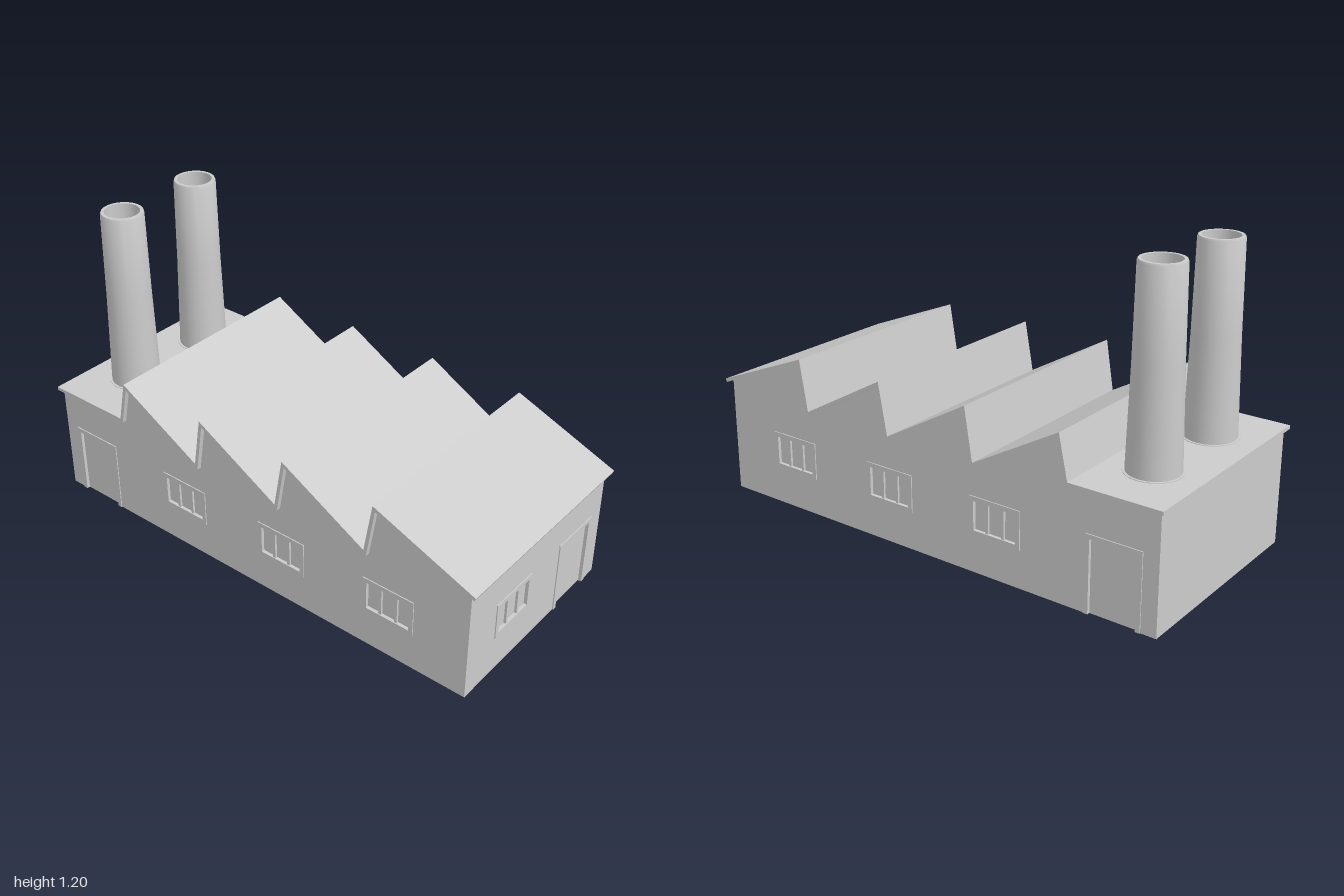
import * as THREE from 'three';
import { toCreasedNormals } from 'three/addons/utils/BufferGeometryUtils.js';

const grey = new THREE.MeshStandardMaterial({ color: 0xcccccc, side: THREE.DoubleSide });
const X0 = -0.985, X1 = 0.975, ZW = 0.432;
const WIN = { w: 0.182, y0: 0.167, y1: 0.28 };
const DOOR = { w: 0.186, y0: 0, y1: 0.28 };

function mesh(name, geometry, parent) {
  const m = new THREE.Mesh(geometry, grey);
  m.name = name;
  parent.add(m);
  return m;
}

const shapeOf = pts => new THREE.Shape(pts.map(p => new THREE.Vector2(p[0], p[1])));
const rect = (a, b, c, d) => [[a, b], [c, b], [c, d], [a, d]];

// Saw-tooth roof line, left to right
const roofLine = [[-1, 0.467], [-0.638, 0.467], [-0.602, 0.635], [-0.243, 0.432], [-0.21, 0.635],
  [0.147, 0.432], [0.184, 0.635], [0.546, 0.432], [0.58, 0.635], [1, 0.467]];

// Parallel line below the roof line, mitred at the corners
function offsetDown(line, t) {
  const normal = (a, b) => new THREE.Vector2(b[1] - a[1], a[0] - b[0]).normalize();
  return line.map((p, i) => {
    const n1 = normal(line[Math.max(i - 1, 0)], line[Math.max(i, 1)]);
    const last = line.length - 1;
    const n2 = normal(line[Math.min(i, last - 1)], line[Math.min(i + 1, last)]);
    const m = n1.clone().add(n2).normalize();
    const k = t / m.dot(n1);
    return [p[0] + m.x * k, p[1] + m.y * k];
  });
}

// Flat wall with a door notch and window holes
function wallGeometry(top, left, right, doorX, windowXs) {
  const h = DOOR.w / 2;
  const notch = doorX === null ? []
    : [[doorX - h, 0], [doorX - h, DOOR.y1], [doorX + h, DOOR.y1], [doorX + h, 0]];
  const shape = shapeOf([[left, 0], ...notch, [right, 0], ...top.slice().reverse()]);
  for (const x of windowXs) {
    shape.holes.push(shapeOf(rect(x - WIN.w / 2, WIN.y0, x + WIN.w / 2, WIN.y1)));
  }
  return new THREE.ShapeGeometry(shape);
}

// Frame, recessed panel and (for windows) two bars, set into a wall
function opening(kind, x, parent) {
  const isDoor = kind === 'door';
  const { w, y0, y1 } = isDoor ? DOOR : WIN;
  const g = new THREE.Group();
  g.name = kind;
  g.position.x = x;
  parent.add(g);
  const h = w / 2, f = 0.018;
  let outline;
  if (isDoor) {
    outline = shapeOf([[-h - f, 0], [-h, 0], [-h, y1], [h, y1], [h, 0], [h + f, 0], [h + f, y1 + f], [-h - f, y1 + f]]);
  } else {
    outline = shapeOf(rect(-h - f, y0 - f, h + f, y1 + f));
    outline.holes.push(shapeOf(rect(-h, y0, h, y1)));
  }
  const frame = new THREE.ExtrudeGeometry(outline, { depth: 0.022, bevelEnabled: false });
  mesh(kind + 'Frame', frame.translate(0, 0, -0.018), g);
  const panel = mesh(kind + 'Panel', new THREE.BoxGeometry(w, y1 - y0, 0.004), g);
  panel.position.set(0, (y0 + y1) / 2, -0.011);
  if (!isDoor) {
    for (const s of [-1, 1]) {
      const bar = mesh('windowBar', new THREE.BoxGeometry(0.011, y1 - y0, 0.01), g);
      bar.position.set(s * 0.034, (y0 + y1) / 2, -0.005);
    }
  }
}

export function createModel() {
  const model = new THREE.Group();
  model.name = 'factory';

  // Roof sheet
  const under = offsetDown(roofLine, 0.014);
  const roof = new THREE.ExtrudeGeometry(shapeOf([...roofLine, ...under.slice().reverse()]),
    { depth: 0.9, bevelEnabled: false });
  mesh('roof', roof.translate(0, 0, -0.45), model);

  // Long walls: same openings front and back, door near the chimneys
  const top = under.map(p => [p[0], p[1]]);
  top[0][0] = X0;
  const [a, b] = top.slice(-2);
  top[top.length - 1] = [X1, a[1] + (b[1] - a[1]) * (X1 - a[0]) / (b[0] - a[0])];
  const doorX = -0.813, windowXs = [-0.327, 0.158, 0.643];
  for (const s of [1, -1]) {
    const wall = new THREE.Group();
    wall.name = s > 0 ? 'frontWall' : 'backWall';
    wall.rotation.y = s > 0 ? 0 : Math.PI;
    wall.position.z = s * ZW;
    model.add(wall);
    const line = s > 0 ? top : top.map(p => [-p[0], p[1]]).reverse();
    mesh('wallSheet', wallGeometry(line, line[0][0], line[line.length - 1][0], s * doorX, windowXs.map(x => s * x)), wall);
    opening('door', s * doorX, wall);
    windowXs.forEach(x => opening('window', s * x, wall));
  }

  // End walls: left has a window and a door, right is plain
  const leftWall = new THREE.Group();
  leftWall.name = 'leftWall';
  leftWall.rotation.y = Math.PI / 2;
  leftWall.position.x = X1;
  model.add(leftWall);
  const endTop = y => [[-ZW, y], [ZW, y]];
  mesh('wallSheet', wallGeometry(endTop(top[top.length - 1][1]), -ZW, ZW, 0.252, [-0.156]), leftWall);
  opening('door', 0.252, leftWall);
  opening('window', -0.156, leftWall);
  const rightWall = mesh('rightWall', wallGeometry(endTop(top[0][1]), -ZW, ZW, null, []), model);
  rightWall.rotation.y = -Math.PI / 2;
  rightWall.position.x = X0;

  // Hollow tapered chimneys, each on a thin collar
  const profile = [[0.107, 0.466], [0.107, 0.469], [0.098, 0.469], [0.088, 0.85], [0.083, 1.19],
    [0.08, 1.197], [0.068, 1.197], [0.068, 0.469]].map(p => new THREE.Vector2(p[0], p[1]));
  for (const z of [0.195, -0.195]) {
    const chimney = mesh('chimney', toCreasedNormals(new THREE.LatheGeometry(profile, 24), 0.6), model);
    chimney.position.set(-0.813, 0, z);
  }
  return model;
}
